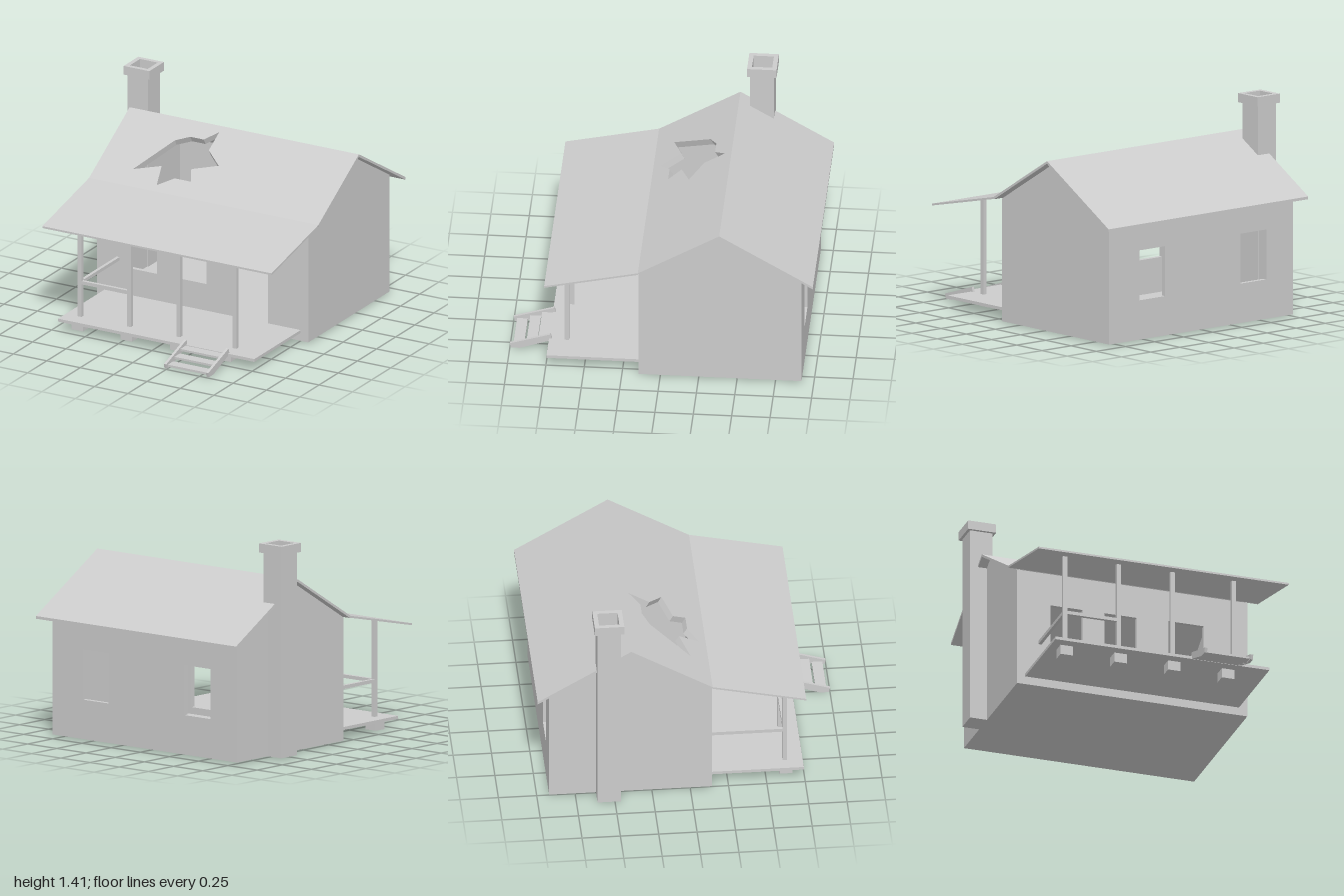
import * as THREE from 'three';

const mat = new THREE.MeshStandardMaterial({ color: 0xcccccc, flatShading: true, side: THREE.DoubleSide });

export function createModel() {
  const root = new THREE.Group();
  root.name = 'cabin';

  const add = (name, geo, parent = root) => {
    const m = new THREE.Mesh(geo, mat);
    m.name = name;
    parent.add(m);
    return m;
  };
  const group = (name) => {
    const g = new THREE.Group();
    g.name = name;
    root.add(g);
    return g;
  };
  // box given by its min and max on each axis
  const box = (name, x0, x1, y0, y1, z0, z1, parent) => add(name,
    new THREE.BoxGeometry(x1 - x0, y1 - y0, z1 - z0)
      .translate((x0 + x1) / 2, (y0 + y1) / 2, (z0 + z1) / 2), parent);
  const poly = (pts) => pts.map(([x, y]) => new THREE.Vector2(x, y));
  const rect = (x0, x1, y0, y1) => [[x0, y0], [x1, y0], [x1, y1], [x0, y1]];
  // flat panel with cut-outs, extruded along +z
  const panel = (outline, holes, depth) => {
    const s = new THREE.Shape(poly(outline));
    holes.forEach((h) => s.holes.push(new THREE.Path(poly(h))));
    return new THREE.ExtrudeGeometry(s, { depth, bevelEnabled: false });
  };
  // [z, y] side profile extruded from x0 to x1
  const sideProfile = (name, pts, x0, x1, parent) => add(name,
    panel(pts.map(([z, y]) => [-z, y]), [], x1 - x0).rotateY(Math.PI / 2).translate(x0, 0, 0), parent);

  // House shell
  const house = group('house');
  const wall = 0.03;
  const [X0, X1, Z0, Z1] = [-0.76, 0.82, -0.92, 0.14];
  const ridgeZ = -0.39, ridgeY = 1.155, eaveY = 0.84, base = 0.01;
  const gable = [[Z1, base], [Z1, eaveY - 0.018], [ridgeZ, ridgeY - 0.018], [Z0, eaveY - 0.018], [Z0, base]];
  sideProfile('rightGableWall', gable, X0, X0 + wall, house);
  sideProfile('leftGableWall', gable, X1 - wall, X1, house);
  const wallOutline = rect(X0 + wall, X1 - wall, base, eaveY - 0.018);
  const leftWindow = rect(-0.53, -0.31, 0.27, 0.6);
  add('frontWall', panel(wallOutline,
    [leftWindow, rect(-0.16, 0.06, 0.27, 0.6), rect(0.28, 0.52, 0.085, 0.61)], wall)
    .translate(0, 0, Z1 - wall), house);
  add('backWall', panel(wallOutline, [leftWindow, rect(0.34, 0.56, 0.27, 0.6)], wall)
    .translate(0, 0, Z0), house);
  box('floor', X0 + wall, X1 - wall, base, base + wall, Z0 + wall, Z1 - wall, house);

  // Roof: the front slope has a jagged hole through plate and lining
  const roof = group('roof');
  const R0 = -0.82, R1 = 0.895, plate = 0.015;
  const run = Z1 - ridgeZ, drop = ridgeY - eaveY;
  const len = Math.hypot(run, drop);
  const hole = [[-0.56, 0.02], [-0.39, -0.23], [-0.3, -0.275], [-0.2, -0.275], [-0.125, -0.345],
    [-0.125, -0.21], [0, -0.12], [-0.17, -0.06], [-0.125, 0.025], [-0.245, 0.025],
    [-0.34, 0.095], [-0.38, -0.04]].map(([x, z]) => [x, -(z - ridgeZ) * len / run]);
  const frontSlope = (name, x0, x1, top, thickness) => add(name,
    panel(rect(x0, x1, -len, 0), [hole], thickness)
      .translate(0, 0, -top - thickness)
      .rotateX(-Math.atan2(run, drop))
      .translate(0, ridgeY, ridgeZ), roof);
  frontSlope('frontRoofPlate', R0, R1, 0, plate);
  frontSlope('frontRoofLining', X0 + wall, X1 - wall, plate, wall);

  // sloping slab from one [z, y] point to another, top surface on the line
  const slab = (name, a, b, x0, x1, t) => sideProfile(name,
    [a, b, [b[0], b[1] - t], [a[0], a[1] - t]], x0, x1, roof);
  slab('backRoofPlate', [ridgeZ, ridgeY], [-1, 0.793], R0, R1, 0.018);
  slab('backRoofLining', [ridgeZ, ridgeY - 0.018], [Z0 + 0.01, eaveY - 0.012], X0 + wall, X1 - wall, 0.035);
  slab('porchRoof', [Z1, eaveY], [0.75, 0.708], R0, R1, 0.013);

  // Chimney: hollow shaft and cap
  const chimney = group('chimney');
  const cx = -0.799, cz = -0.538;
  const square = (r) => rect(-r, r, -r, r);
  const flue = (name, r, y0, y1) => add(name,
    panel(square(r), [square(0.066)], y1 - y0).rotateX(-Math.PI / 2).translate(cx, y0, cz), chimney);
  flue('chimneyShaft', 0.077, base, 1.35);
  flue('chimneyCap', 0.096, 1.35, 1.41);
  box('chimneyBase', cx - 0.066, cx + 0.066, base, base + 0.02, cz - 0.066, cz + 0.066, chimney);

  // Porch: deck, footings, posts and rails
  const porch = group('porch');
  box('deck', -0.705, 0.763, 0.065, 0.085, Z1, 0.745, porch);
  [-0.603, -0.234, 0.135, 0.504].forEach((x) =>
    box('footing', x - 0.043, x + 0.043, 0, 0.065, 0.59, 0.675, porch));
  [-0.603, -0.234, 0.135, 0.556].forEach((x) =>
    box('post', x - 0.014, x + 0.014, 0.085, 0.725, 0.614, 0.642, porch));
  box('frontRail', -0.589, -0.248, 0.31, 0.333, 0.617, 0.639, porch);
  box('sideRail', -0.614, -0.592, 0.31, 0.333, Z1, 0.614, porch);

  // Steps
  const steps = group('steps');
  const stringer = [[0.735, 0.117], [0.722, 0.075], [0.935, 0.003], [0.992, 0.003], [1, 0.035]];
  [0.232, 0.547].forEach((x) => sideProfile('stringer', stringer, x, x + 0.018, steps));
  [[0.745, 0.067], [0.822, 0.038], [0.908, 0.012]].forEach(([z, y]) =>
    box('tread', 0.25, 0.547, y, y + 0.014, z, z + 0.07, steps));

  return root;
}
